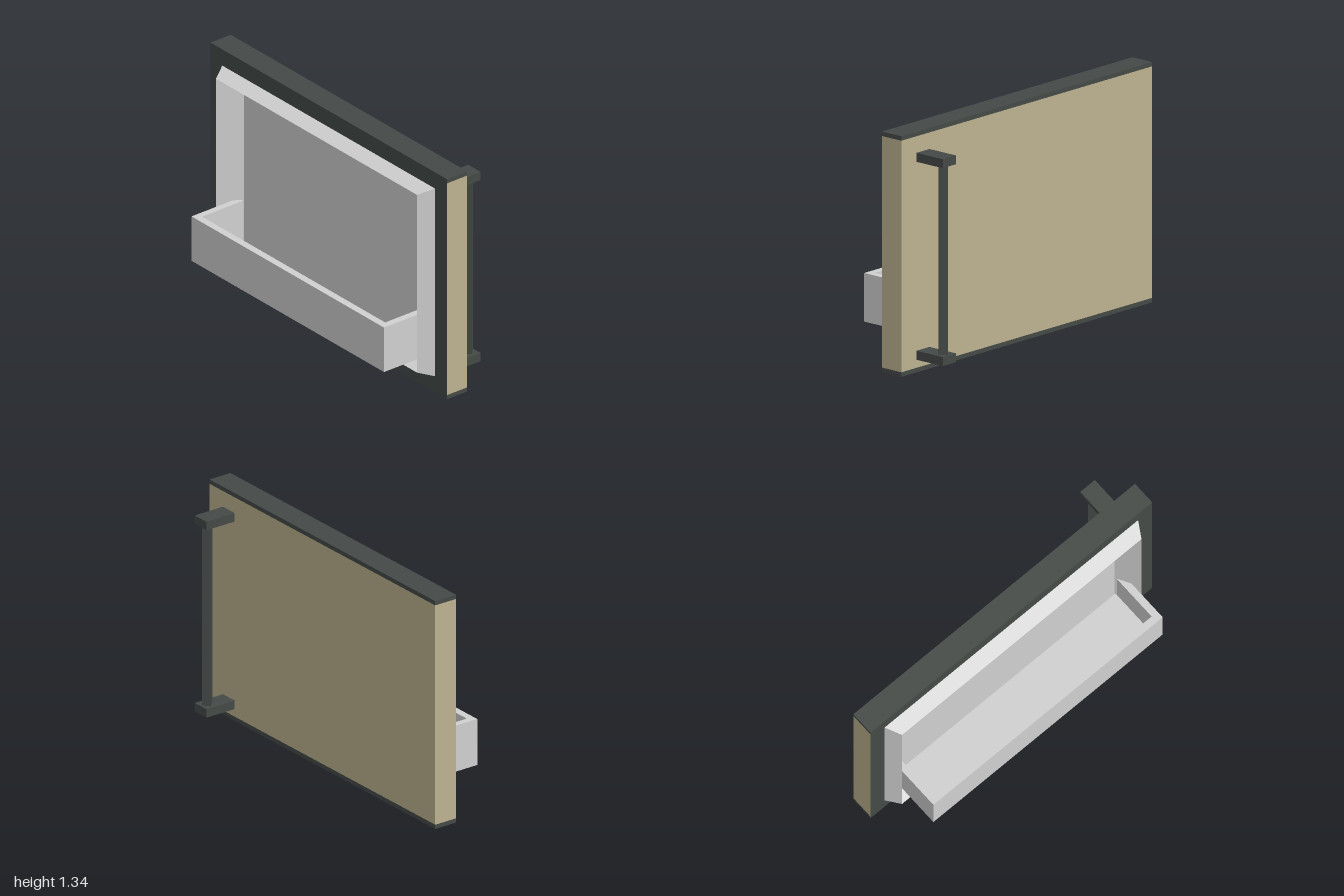
import * as THREE from 'three';

const tan = new THREE.MeshStandardMaterial({ color: 0xbdb28f });
tan.name = 'tan panel';
const dark = new THREE.MeshStandardMaterial({ color: 0x444a47 });
dark.name = 'dark trim';
const grey = new THREE.MeshStandardMaterial({ color: 0xd0d0d0 });
grey.name = 'grey liner';

const CENTRE_Y = 0.6685;

// Box given by its min and max on each axis
function box(name, [x0, x1], [y0, y1], [z0, z1], material) {
  const mesh = new THREE.Mesh(new THREE.BoxGeometry(x1 - x0, y1 - y0, z1 - z0), material);
  mesh.position.set((x0 + x1) / 2, (y0 + y1) / 2, (z0 + z1) / 2);
  mesh.name = name;
  return mesh;
}

// Rectangular loops [x, half z, half y] bridged with flat quads, optionally closed towards -x
function loopMesh(name, loops, capped, material) {
  const rings = loops.map(([x, hz, hy]) =>
    [[-1, -1], [1, -1], [1, 1], [-1, 1]].map(([sz, sy]) => [x, CENTRE_Y + sy * hy, sz * hz]));
  const positions = [];
  const quad = (a, b, c, d) => positions.push(...a, ...b, ...c, ...a, ...c, ...d);
  for (let r = 0; r < rings.length - 1; r++) {
    for (let i = 0; i < 4; i++) {
      const j = (i + 1) % 4;
      quad(rings[r][i], rings[r][j], rings[r + 1][j], rings[r + 1][i]);
    }
  }
  if (capped) quad(...rings[rings.length - 1]);
  const geometry = new THREE.BufferGeometry();
  geometry.setAttribute('position', new THREE.Float32BufferAttribute(positions, 3));
  geometry.computeVertexNormals();
  const mesh = new THREE.Mesh(geometry, material);
  mesh.name = name;
  return mesh;
}

export function createModel() {
  const model = new THREE.Group();
  model.name = 'applianceDoor';

  // Door slab: tan skin and sides, dark inner face around the recess, dark caps
  const slabX = [-0.02, 0.12];
  model.add(
    box('doorPanel', [0.035, 0.12], [0.025, 1.312], [-1, 1], tan),
    loopMesh('doorSides', [[0.035, 1, 0.6435], [-0.02, 1, 0.6435]], false, tan),
    loopMesh('innerFace', [[-0.02, 1, 0.6435], [-0.02, 0.9, 0.57]], false, dark),
    box('topCap', slabX, [1.312, 1.337], [-1, 1], dark),
    box('bottomCap', slabX, [0, 0.025], [-1, 1], dark),
  );

  // Raised liner: outer bevel up to a ridge, then sloped walls down to the recessed back
  model.add(loopMesh('innerLiner', [
    [-0.02, 0.9, 0.57],
    [-0.105, 0.85, 0.54],
    [0.028, 0.775, 0.492],
  ], true, grey));

  // Open shelf bin, its ends running into the liner walls
  const bin = new THREE.Group();
  bin.name = 'shelfBin';
  bin.add(
    box('binFront', [-0.31, -0.268], [0.19, 0.46], [-0.806, 0.822], grey),
    box('binBackEnd', [-0.268, 0.015], [0.19, 0.46], [-0.806, -0.768], grey),
    box('binFrontEnd', [-0.268, 0.015], [0.19, 0.46], [0.78, 0.822], grey),
    box('binFloor', [-0.268, 0.027], [0.19, 0.21], [-0.768, 0.78], grey),
  );
  model.add(bin);

  // Handle: two brackets and a square bar turned on edge
  const handle = new THREE.Group();
  handle.name = 'handle';
  for (const [name, y] of [['lowerBracket', 0.07], ['upperBracket', 1.17]]) {
    handle.add(box(name, [0.12, 0.31], [y, y + 0.05], [0.776, 0.88], dark));
  }
  const bar = new THREE.Mesh(new THREE.CylinderGeometry(0.034, 0.034, 1.05, 4).toNonIndexed(), dark);
  bar.geometry.computeVertexNormals();
  bar.position.set(0.265, 0.645, 0.828);
  bar.name = 'handleBar';
  handle.add(bar);
  model.add(handle);

  return model;
}
